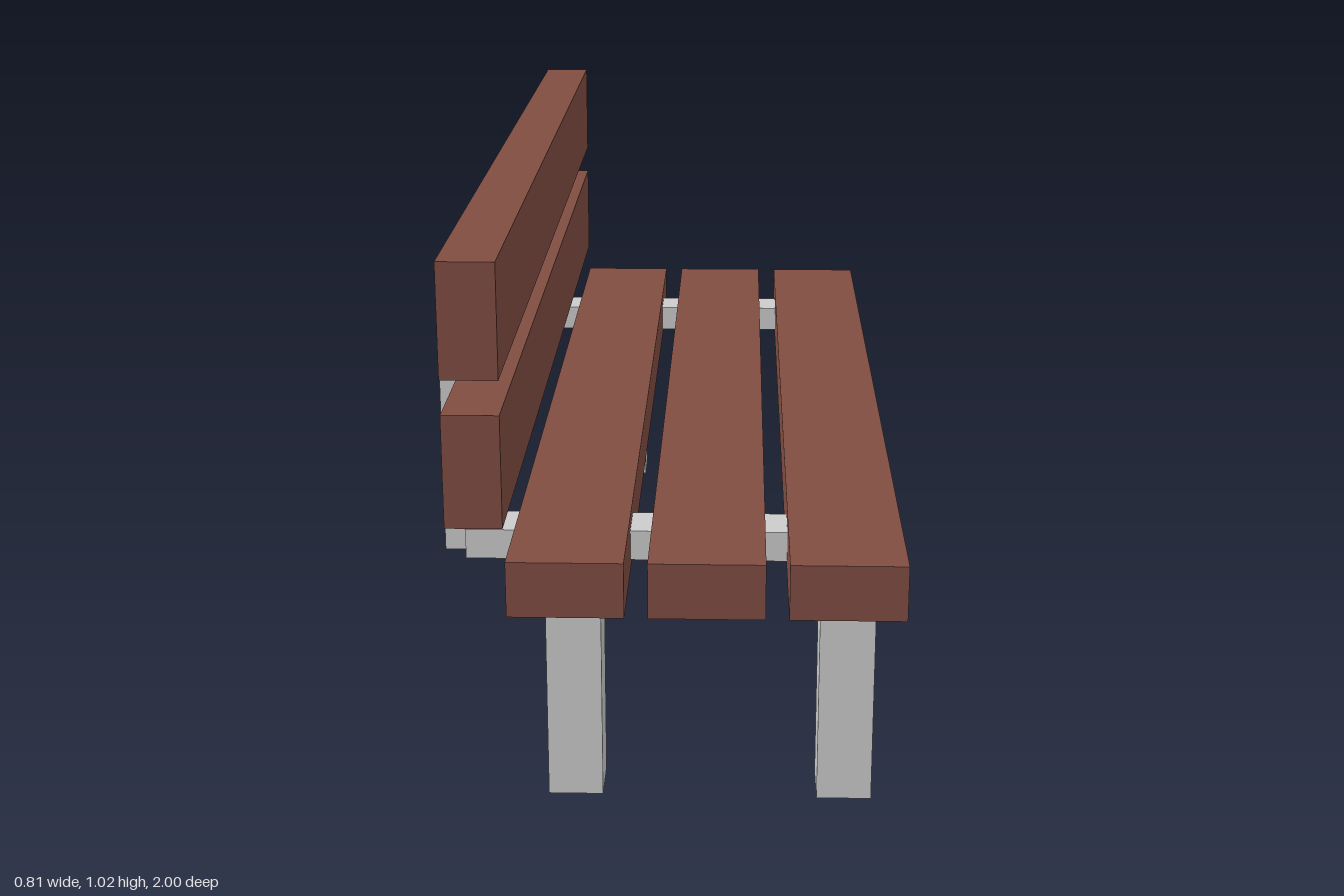
import * as THREE from 'three';

const wood = new THREE.MeshStandardMaterial({ color: 0x804d42 });
const metal = new THREE.MeshStandardMaterial({ color: 0xcccccc });

// Box given by its extents along each axis
function block(name, material, [x0, x1], [y0, y1], [z0, z1]) {
  const mesh = new THREE.Mesh(new THREE.BoxGeometry(x1 - x0, y1 - y0, z1 - z0), material);
  mesh.position.set((x0 + x1) / 2, (y0 + y1) / 2, (z0 + z1) / 2);
  mesh.name = name;
  return mesh;
}

export function createModel() {
  const bench = new THREE.Group();
  bench.name = 'bench';
  const length = [-1, 1];

  // Three seat planks with narrow gaps
  for (const x of [-0.275, -0.035, 0.205]) {
    bench.add(block('seatPlank', wood, [x, x + 0.2], [0.4, 0.5], length));
  }

  // Two backrest planks
  for (const y of [0.56, 0.82]) {
    bench.add(block('backPlank', wood, [-0.375, -0.277], [y, y + 0.2], length));
  }

  // Four square legs, the rear pair set slightly along the bench
  for (const [x, shift] of [[-0.221, -0.005], [0.262, 0]]) {
    for (const z of [0.785, -0.903]) {
      bench.add(block('leg', metal, [x, x + 0.098], [0, 0.41], [z + shift, z + shift + 0.098]));
    }
  }

  // Cross bars joining the seat planks, and posts carrying the backrest
  for (const z of [0.743, -0.754]) {
    bench.add(block('seatBar', metal, [-0.37, 0.37], [0.42, 0.475], [z - 0.046, z + 0.046]));
    bench.add(block('backPost', metal, [-0.407, -0.332], [0.434, 0.968], [z - 0.039, z + 0.039]));
  }

  return bench;
}
